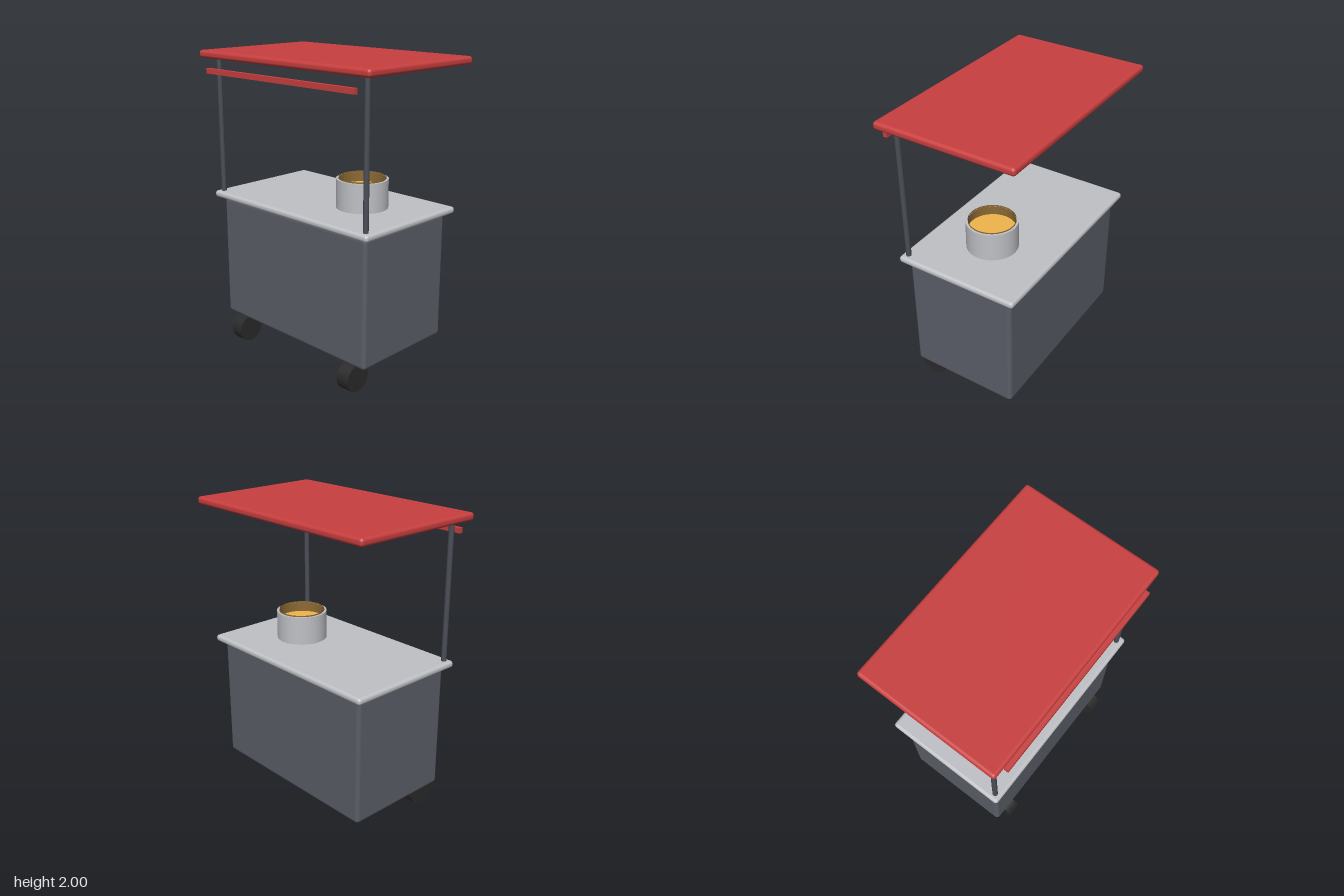
import * as THREE from 'three';
import { RoundedBoxGeometry } from 'three/addons/geometries/RoundedBoxGeometry.js';

const paint = (color, side = THREE.FrontSide) => new THREE.MeshStandardMaterial({ color, side });

export function createModel() {
  const cart = new THREE.Group();
  cart.name = 'foodCart';

  const red = paint(0xc93f3f);
  const slate = paint(0x5a5e67);
  const steel = paint(0xc0c1c6);
  const postGrey = paint(0x4a4e57);
  const rubber = paint(0x2a2a2a);

  function add(name, geometry, material, x, y, z) {
    const mesh = new THREE.Mesh(geometry, material);
    mesh.name = name;
    mesh.position.set(x, y, z);
    cart.add(mesh);
    return mesh;
  }

  // Cabinet, worktop and canopy: softly rounded slabs
  add('cabinet', new RoundedBoxGeometry(1.29, 0.835, 0.74, 3, 0.025), slate, 0, 0.603, -0.005);
  add('worktop', new RoundedBoxGeometry(1.385, 0.045, 0.83, 3, 0.02), steel, 0, 1.042, -0.005);
  add('canopy', new RoundedBoxGeometry(1.48, 0.05, 0.925, 3, 0.02), red, 0, 1.975, -0.006);

  // Hanging rail under the front edge of the canopy
  add('frontRail', new THREE.BoxGeometry(1.29, 0.033, 0.028), red, 0, 1.875, 0.457);

  // Front posts and wheels, mirrored left and right
  for (const [side, s] of [['left', 1], ['right', -1]]) {
    add(side + 'Post', new THREE.CylinderGeometry(0.017, 0.017, 0.91, 12), postGrey, s * 0.646, 1.505, 0.365);
    const wheel = add(side + 'Wheel', new THREE.CylinderGeometry(0.092, 0.092, 0.093, 18), rubber, s * 0.508, 0.092, 0.318);
    wheel.rotation.z = Math.PI / 2;
  }

  // Open pot with a thin wall
  const potProfile = [[0, 0], [0.165, 0], [0.165, 0], [0.165, 0.187], [0.165, 0.187], [0.149, 0.187]]
    .map(([r, y]) => new THREE.Vector2(r, y));
  add('pot', new THREE.LatheGeometry(potProfile, 32), steel, 0.277, 1.064, -0.006);

  // Lining that stands just above the rim, and the food inside
  add('potLining', new THREE.CylinderGeometry(0.15, 0.15, 0.08, 32, 1, true),
    paint(0x8c6a34, THREE.DoubleSide), 0.277, 1.22, -0.006);
  const food = add('food', new THREE.CircleGeometry(0.15, 32), paint(0xf0b44c), 0.277, 1.19, -0.006);
  food.rotation.x = -Math.PI / 2;

  return cart;
}
